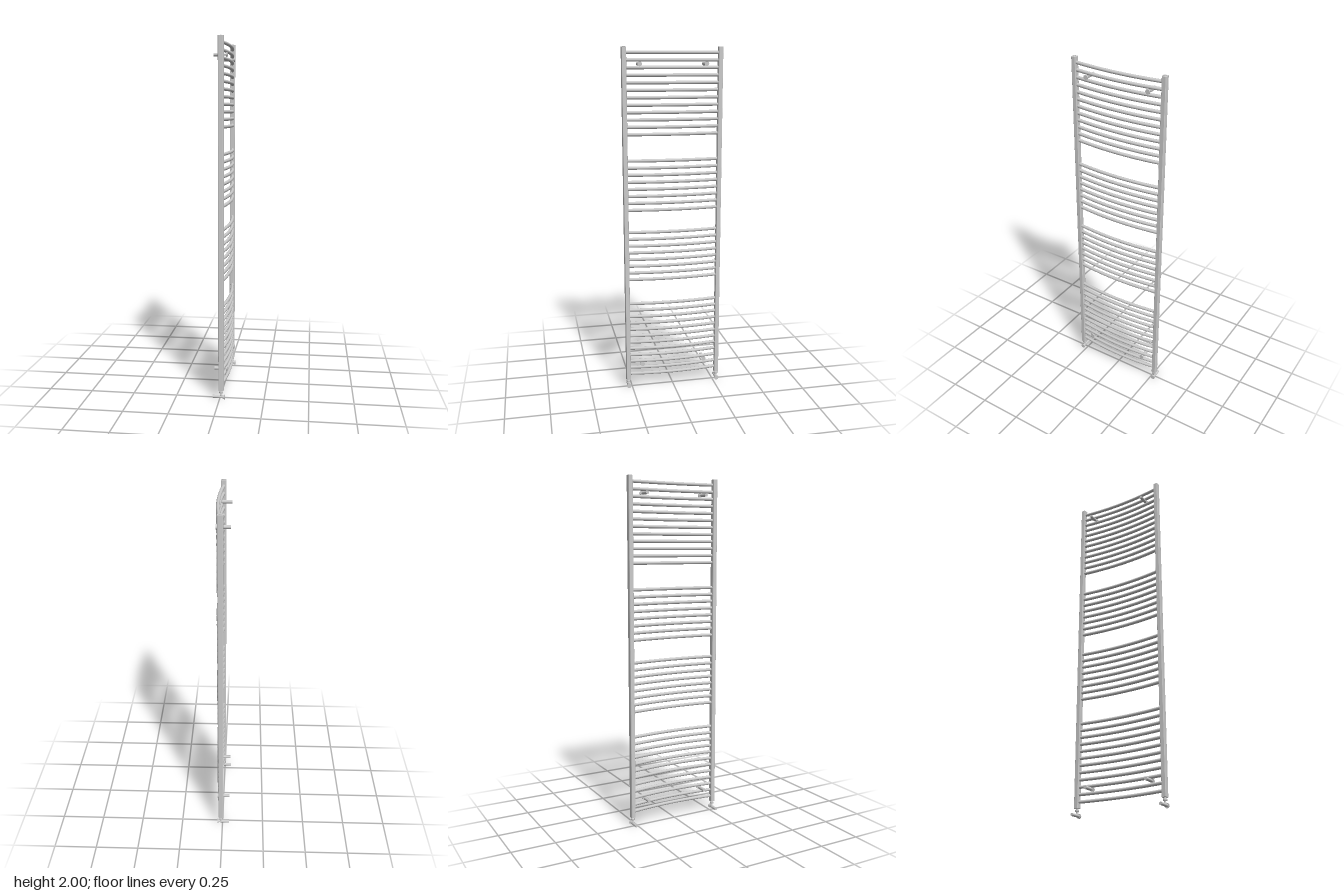
import * as THREE from 'three';
import { toCreasedNormals } from 'three/addons/utils/BufferGeometryUtils.js';

const material = new THREE.MeshStandardMaterial({ color: 0xcccccc });
const POST_X = 0.009, POST_Z = 0.272;

function add(parent, name, geometry, x = 0, y = 0, z = 0) {
  const mesh = new THREE.Mesh(geometry, material);
  mesh.name = name;
  mesh.position.set(x, y, z);
  parent.add(mesh);
  return mesh;
}

// Cylinder lying along x between two x positions
function rodX(parent, name, radius, x0, x1, y, z, sides = 20) {
  const g = new THREE.CylinderGeometry(radius, radius, x1 - x0, sides).rotateZ(Math.PI / 2);
  return add(parent, name, g, (x0 + x1) / 2, y, z);
}

// Upright with rounded corners and slightly bulged sides
function postGeometry(height) {
  const w = 0.015, d = 0.0145, e = 0.012, c = 0.010;
  const s = new THREE.Shape();
  s.moveTo(-w, -c);
  s.quadraticCurveTo(-w, -e, -c, -e - 0.001);
  s.quadraticCurveTo(0, -d - 0.002, c, -e - 0.001);
  s.quadraticCurveTo(w, -e, w, -c);
  s.lineTo(w, c);
  s.quadraticCurveTo(w, e, c, e + 0.001);
  s.quadraticCurveTo(0, d + 0.002, -c, e + 0.001);
  s.quadraticCurveTo(-w, e, -w, c);
  s.closePath();
  const g = new THREE.ExtrudeGeometry(s, { depth: height, bevelEnabled: false, curveSegments: 6 });
  return toCreasedNormals(g.rotateX(-Math.PI / 2), 0.6);
}

export function createModel() {
  const model = new THREE.Group();
  model.name = 'towelRadiator';

  // Curved rails in four groups
  const arc = new THREE.QuadraticBezierCurve3(
    new THREE.Vector3(POST_X, 0, -0.264),
    new THREE.Vector3(0.049, 0, 0),
    new THREE.Vector3(POST_X, 0, 0.264)
  );
  const railGeometry = new THREE.TubeGeometry(arc, 24, 0.0093, 12);
  const rails = new THREE.Group();
  rails.name = 'rails';
  model.add(rails);
  for (const [bottom, count] of [[0.087, 12], [0.68, 8], [1.093, 8], [1.523, 12]]) {
    for (let i = 0; i < count; i++) add(rails, 'rail', railGeometry, 0, bottom + i * 0.0404, 0);
  }

  const post = postGeometry(1.946);

  // Valve stem with union nut
  const stem = toCreasedNormals(new THREE.LatheGeometry([
    [0, 0.012], [0.007, 0.012], [0.007, 0.026], [0.005, 0.028], [0.005, 0.033],
    [0.011, 0.035], [0.011, 0.045], [0.007, 0.047], [0.007, 0.056], [0, 0.056]
  ].map(([r, y]) => new THREE.Vector2(r, y)), 16), 0.6);

  for (const side of [-1, 1]) {
    const name = side > 0 ? 'left' : 'right';
    const z = side * POST_Z;
    add(model, name + 'Post', post, POST_X, 0.052, z);

    // Vent plug on top of the post
    add(model, name + 'PlugRing', new THREE.TorusGeometry(0.007, 0.0012, 6, 20).rotateX(Math.PI / 2), POST_X, 1.9985, z);
    add(model, name + 'Plug', new THREE.CylinderGeometry(0.004, 0.004, 0.002, 6), POST_X, 1.999, z);

    // Valve below the post
    const valve = new THREE.Group();
    valve.name = name + 'Valve';
    model.add(valve);
    add(valve, 'valveStem', stem, POST_X, 0, z);
    rodX(valve, 'valveBody', 0.0085, -0.04, 0.025, 0.014, z);
    rodX(valve, 'valveCap', 0.0135, 0.024, 0.03, 0.014, z);

    // Wall brackets clamping the rails
    for (const y of [0.15, 1.906]) {
      const bracket = new THREE.Group();
      bracket.name = name + (y > 1 ? 'Upper' : 'Lower') + 'Bracket';
      model.add(bracket);
      rodX(bracket, 'bracketTube', 0.0095, -0.04, 0.012, y, side * 0.188);
      rodX(bracket, 'bracketScrew', 0.005, 0.01, 0.03, y, side * 0.188, 12);
      rodX(bracket, 'bracketDisc', 0.013, 0.028, 0.034, y, side * 0.188);
    }
  }
  return model;
}
